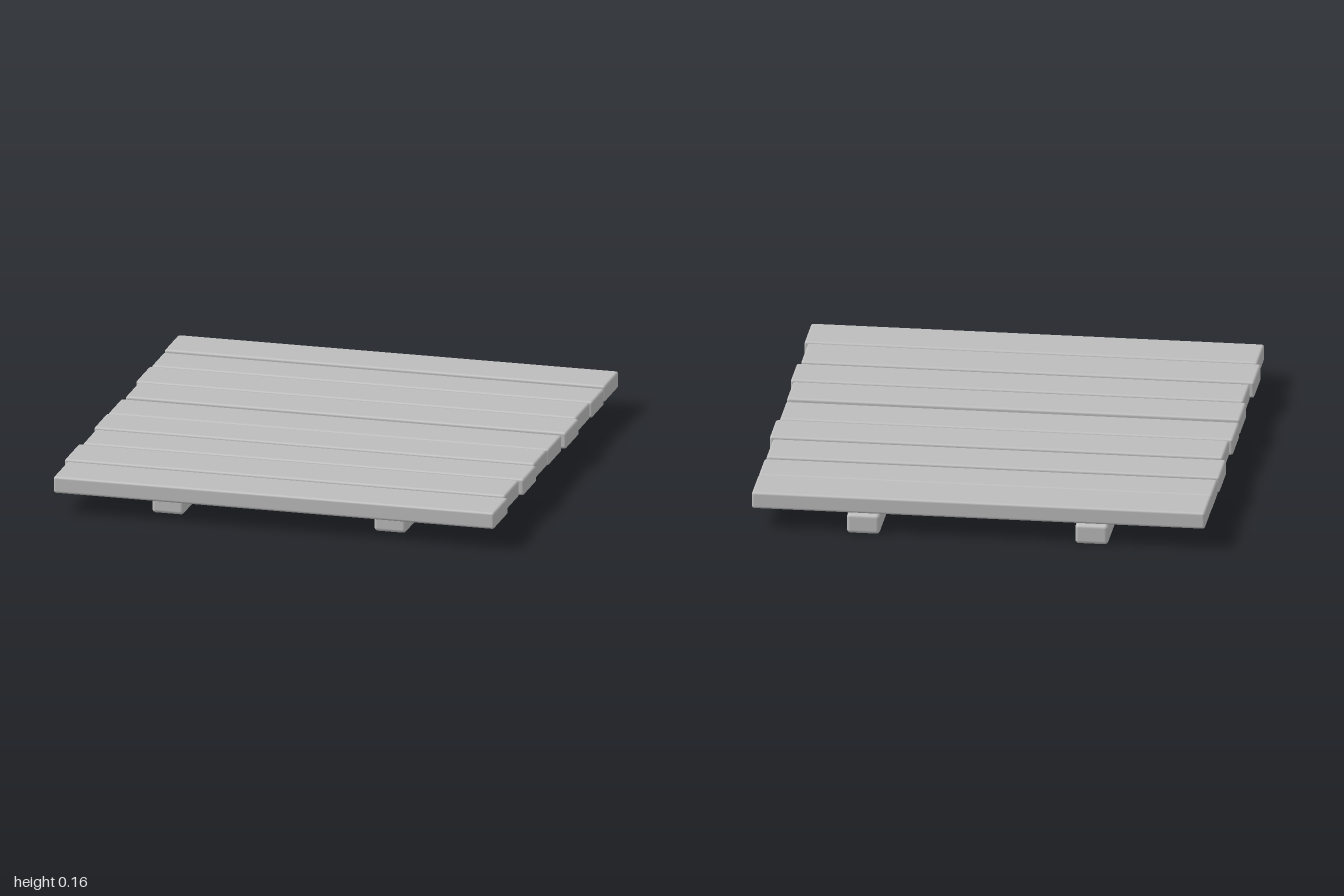
import * as THREE from 'three';
import { RoundedBoxGeometry } from 'three/addons/geometries/RoundedBoxGeometry.js';

export function createModel() {
  const model = new THREE.Group();
  model.name = 'slattedPallet';
  const greyWood = new THREE.MeshStandardMaterial({ color: 0xbcbcbc });
  greyWood.name = 'greyWood';

  // Softly rounded timber given by its minimum and maximum corners
  function timber(name, [x0, y0, z0], [x1, y1, z1], radius) {
    const geometry = new RoundedBoxGeometry(x1 - x0, y1 - y0, z1 - z0, 3, radius);
    const mesh = new THREE.Mesh(geometry, greyWood);
    mesh.position.set((x0 + x1) / 2, (y0 + y1) / 2, (z0 + z1) / 2);
    mesh.name = name;
    model.add(mesh);
  }

  // Planks from back to front: back edge, front edge, left-right centre, underside
  const planks = [
    [-1.0, -0.787, -0.008, 0.09],
    [-0.77, -0.583, -0.007, 0.084],
    [-0.563, -0.355, -0.012, 0.086],
    [-0.335, -0.135, 0.004, 0.088],
    [-0.113, 0.09, -0.009, 0.084],
    [0.11, 0.309, -0.009, 0.09],
    [0.329, 0.526, 0.004, 0.089],
    [0.545, 0.762, -0.011, 0.09],
    [0.781, 1.0, 0.006, 0.088],
  ];
  planks.forEach(([back, front, x, y], i) => {
    timber(`plank${i + 1}`, [x - 0.943, y, back], [x + 0.943, y + 0.072, front], 0.011);
  });

  // Two bearers underneath, flush with the back edge
  timber('rightBearer', [-0.548, 0, -1.0], [-0.41, 0.086, 0.885], 0.016);
  timber('leftBearer', [0.402, 0, -1.0], [0.54, 0.086, 0.885], 0.016);

  return model;
}
